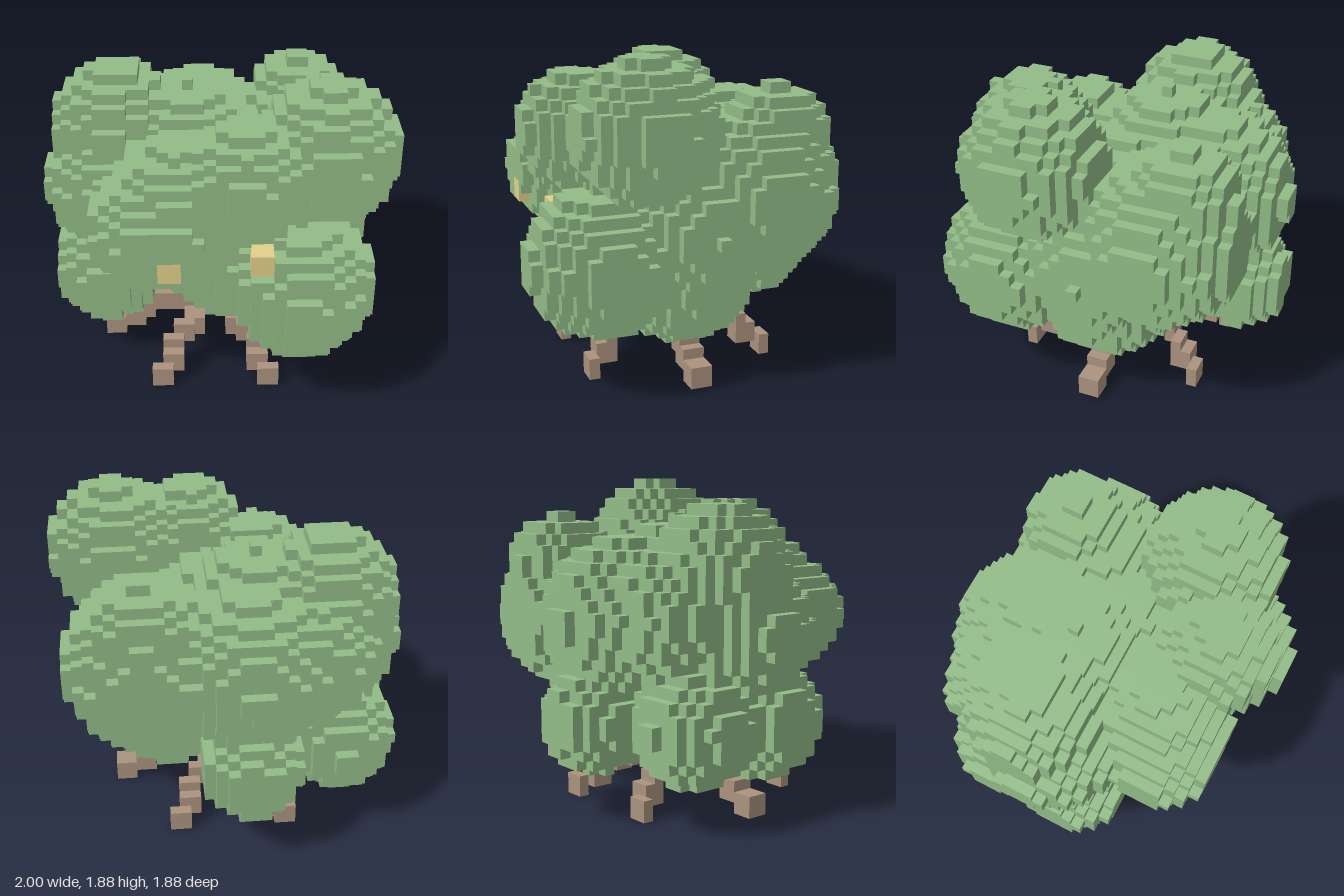
import * as THREE from 'three';

const S = 0.0625; // edge of one block

// Leaf clumps: x, y, z, radius
const CLUMPS = [
  [0.62, 1.48, 0.31, 0.383],        // tall crown, left
  [-0.58, 1.38, -0.19, 0.37],       // crown, right
  [-0.58, 1.06, -0.09, 0.412],      // right flank
  [-0.635, 0.56, 0.05, 0.33],       // low right, middle
  [-0.61, 0.57, -0.4, 0.325],       // low right, back
  [0.475, 1.09, -0.375, 0.465],     // left flank, back
  [0.5, 0.906, -0.03, 0.408],       // left flank, middle
  [-0.1, 1.11, -0.46, 0.457],       // back
  [-0.45, 1.15, -0.42, 0.365],      // back right
  [0.5, 1.375, -0.5, 0.295],        // back left crown
  [0.17, 1.43, 0.55, 0.325],        // front crown
  [-0.2, 1.14, 0.38, 0.42],         // front, middle
  [-0.38, 1.1, 0.5, 0.32],          // front right
  [0.48, 0.75, 0.52, 0.408],        // front left, low
  [0.345, 0.6, 0, 0.4],             // low left
  [0.094, 0.78, 0.2, 0.408],        // lower middle
  [-0.09, 0.5625, -0.67, 0.29],     // low back
  [-0.156, 1.25, -0.156, 0.408],    // top middle
  [0.1, 1.05, 0, 0.45],             // core
];

// Root steps from the ground to the hub: distance from the axis, height in blocks
const ROOT_STEPS = [
  [0.62, 1], [0.53, 2], [0.5, 2], [0.44, 3], [0.37, 4], [0.31, 4], [0.25, 4], [0.15, 5],
];

const key = (i, j, k) => `${i},${j},${k}`;

// Adds every block of a range that passes the test
function fill(cells, [x0, x1], [y0, y1], [z0, z1], name, test = () => true) {
  for (let i = x0; i <= x1; i++)
    for (let j = y0; j <= y1; j++)
      for (let k = z0; k <= z1; k++)
        if (test((i + 0.5) * S, (j + 0.5) * S, (k + 0.5) * S))
          cells.set(key(i, j, k), { i, j, k, name });
}

// Outer faces of all blocks of one part
function blockGeometry(cells, name) {
  const pos = [], nor = [], index = [];
  for (const c of cells.values()) {
    if (c.name !== name) continue;
    const at = [c.i, c.j, c.k];
    for (let axis = 0; axis < 3; axis++) {
      for (const side of [1, -1]) {
        const next = [...at];
        next[axis] += side;
        if (cells.has(key(...next))) continue;
        const n = [0, 0, 0];
        n[axis] = side;
        const u = (axis + 1) % 3, v = (axis + 2) % 3;
        const base = pos.length / 3;
        for (const [a, b] of [[0, 0], [1, 0], [1, 1], [0, 1]]) {
          const p = [...at];
          p[axis] += side > 0 ? 1 : 0;
          p[u] += a;
          p[v] += b;
          pos.push(...p.map((q) => q * S));
          nor.push(...n);
        }
        const order = side > 0 ? [0, 1, 2, 0, 2, 3] : [0, 2, 1, 0, 3, 2];
        index.push(...order.map((o) => base + o));
      }
    }
  }
  const g = new THREE.BufferGeometry();
  g.setAttribute('position', new THREE.Float32BufferAttribute(pos, 3));
  g.setAttribute('normal', new THREE.Float32BufferAttribute(nor, 3));
  g.setIndex(index);
  return g;
}

export function createModel() {
  const cells = new Map();

  // Root hub under the leaves
  fill(cells, [-4, 3], [4, 6], [-4, 3], 'roots',
    (x, y, z) => Math.hypot(x, z) < (y > 0.375 ? 0.12 : 0.22));

  // Six arched roots; the two sideways ones are two blocks thick
  for (let n = 0; n < 6; n++) {
    const a = (n * Math.PI) / 3;
    for (const [r, j] of ROOT_STEPS) {
      const i = Math.round((r * Math.cos(a)) / S);
      const z = Math.floor((r * Math.sin(a)) / S);
      fill(cells, [i - 1, i], [j - 1, j], n % 3 === 0 ? [-1, 0] : [z, z], 'roots');
    }
  }

  // Leaf clumps
  for (const [cx, cy, cz, r] of CLUMPS) {
    fill(cells, [-16, 15], [3, 29], [-15, 14], 'leaves',
      (x, y, z) => Math.hypot(x - cx, y - cy, z - cz) < r);
  }

  // Two square eyes, with the leaves in front of them cleared
  for (const [x, z] of [[-5, 12], [3, 11]]) {
    fill(cells, [x, x + 1], [15, 16], [z - 1, z], 'eyes');
    for (const i of [x, x + 1])
      for (const j of [15, 16])
        for (let k = z + 1; k < 15; k++) cells.delete(key(i, j, k));
  }

  const group = new THREE.Group();
  const parts = [
    ['leaves', 'leaf green', 0x92bb87],
    ['roots', 'bark brown', 0xab937e],
    ['eyes', 'pale amber', 0xe2d08a],
  ];
  for (const [name, colorName, color] of parts) {
    const material = new THREE.MeshStandardMaterial({ color });
    material.name = colorName;
    const mesh = new THREE.Mesh(blockGeometry(cells, name), material);
    mesh.name = name;
    group.add(mesh);
  }
  return group;
}
